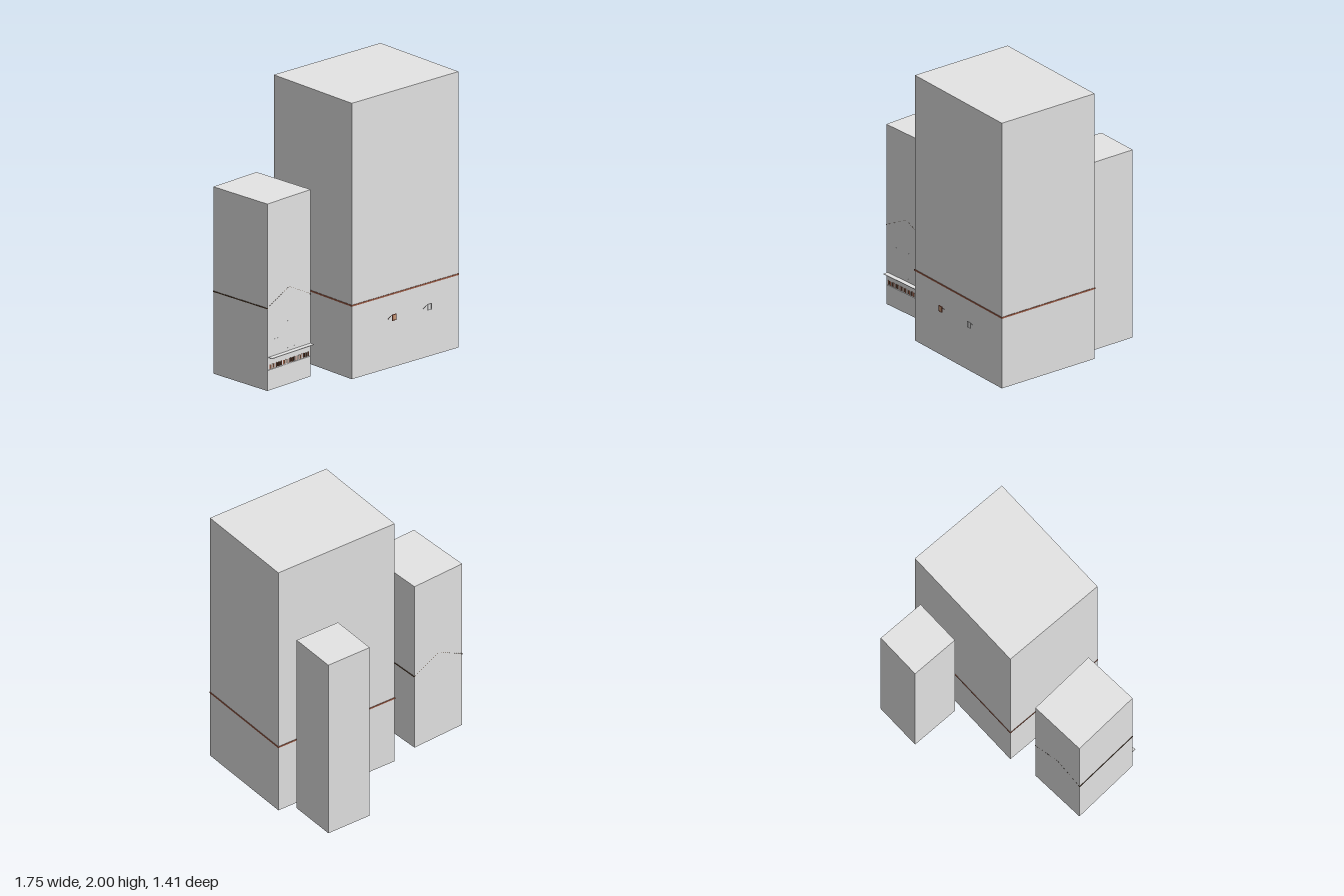
import * as THREE from 'three';

const paint = (name, color) => {
  const m = new THREE.MeshStandardMaterial({ color });
  m.name = name;
  return m;
};

export function createModel() {
  const wall = paint('wall grey', 0xe6e6e6);
  const brown = paint('red brown', 0xa0604a);
  const tan = paint('sign tan', 0xc89a78);
  const dark = paint('dark brown', 0x54402f);

  const model = new THREE.Group();
  model.name = 'buildings';

  const box = (parent, name, mat, size, pos, rotX = 0, rotZ = 0) => {
    const mesh = new THREE.Mesh(new THREE.BoxGeometry(...size), mat);
    mesh.name = name;
    mesh.position.set(...pos);
    mesh.rotation.set(rotX, 0, rotZ);
    parent.add(mesh);
  };

  // A turned block standing on the ground; details use its own axes
  const building = (name, x, z, turn, w, h, d) => {
    const g = new THREE.Group();
    g.name = name;
    g.position.set(x, 0, z);
    g.rotation.y = turn;
    box(g, name + 'Body', wall, [w, h, d], [0, h / 2, 0]);
    model.add(g);
    return g;
  };

  // Tall tower with a thin band all round
  const TW = 0.983, TD = 0.797;
  const tower = building('tower', 0.289, 0.178, 0.284, TW, 2, TD);
  box(tower, 'band', brown, [TW + 0.007, 0.011, TD + 0.007], [0, 0.532, 0]);

  // Two hanging signs, each on a sloping strut
  [[-0.16, tan, brown], [0.165, wall, wall]].forEach(([x, face, frame]) => {
    const sign = new THREE.Group();
    sign.name = 'hangingSign';
    sign.position.set(x, 0.38, TD / 2);
    tower.add(sign);
    box(sign, 'signPlate', face, [0.027, 0.036, 0.004], [0.018, 0, 0.047]);
    for (const s of [-1, 1]) {
      box(sign, 'signFrameSide', frame, [0.005, 0.044, 0.007], [0.018 + s * 0.0155, 0, 0.047]);
      box(sign, 'signFrameRail', frame, [0.036, 0.005, 0.007], [0.018, s * 0.0195, 0.047]);
    }
    box(sign, 'signStrut', frame, [0.002, 0.002, 0.062], [0.001, -0.002, 0.022], -0.78);
  });

  // Gabled-line house block
  const HW = 0.423, HD = 0.517, F = HD / 2;
  const house = building('house', -0.5865, 0.352, 0.348, HW, 1.355, HD);

  // Eaves along both sides
  for (const s of [-1, 1])
    box(house, 'eave', dark, [0.008, 0.007, HD + 0.003], [s * HW / 2, 0.597, 0]);

  // Broken gable lines on the front and back
  const rise = 0.105, slope = Math.atan2(rise, HW / 2), dashes = 12;
  for (const z of [-F, F])
    for (const s of [-1, 1])
      for (let i = 0; i < dashes; i++) {
        const t = (i + 0.5) / dashes;
        box(house, 'gableDash', dark, [0.009, 0.002, 0.002],
          [s * t * HW / 2, 0.705 - rise * t, z], 0, -s * slope);
      }

  // Three rows of small window sills
  for (const y of [0.265, 0.36, 0.46])
    for (const x of [-0.14, 0.02, 0.16])
      for (const dx of [-0.03, 0, 0.03])
        box(house, 'windowSill', wall, [0.006, 0.002, 0.002], [x + dx, y, F]);

  // Thin canopy and the ledge beneath the shop windows
  box(house, 'canopy', wall, [0.41, 0.004, 0.038], [0.004, 0.24, F + 0.018]);
  box(house, 'ledge', wall, [0.41, 0.004, 0.006], [0, 0.148, F + 0.001]);

  // Shop windows: six groups of dark panes between brown mullions
  for (let i = 0; i < 6; i++) {
    const x = (i - 2.5) * 0.066;
    for (const dx of [-0.012, 0.012])
      box(house, 'shopPane', dark, [0.009, 0.028, 0.003], [x + dx, 0.17, F]);
    for (const dx of [-0.024, 0, 0.024])
      box(house, 'shopMullion', brown, [0.006, 0.032, 0.005], [x + dx, 0.17, F]);
  }

  // Plain rear block with a tiny roof peak
  const rear = building('rearBlock', 0.302, -0.485, 0.29, 0.351, 1.415, 0.366);
  box(rear, 'roofPeak', wall, [0.004, 0.004, 0.004], [0, 1.415, 0]);

  return model;
}
